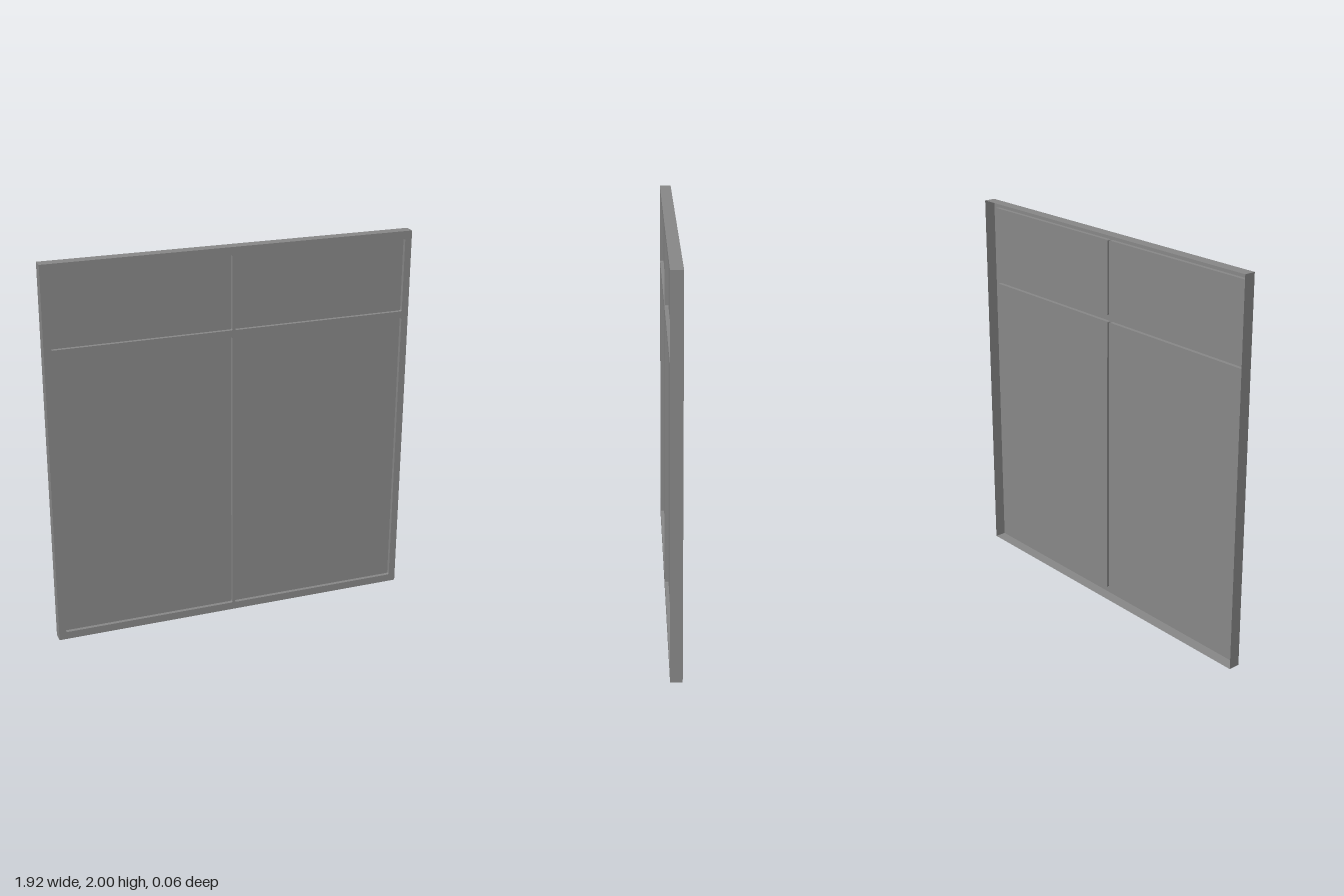
import * as THREE from 'three';

const W = 1.92, H = 2, FRONT = 0.03, BACK = -0.03, RECESS = 0.02;

// Rounded rectangle outline, counter-clockwise
function outline(x0, y0, x1, y1, r) {
  if (!r) return [[x0, y0], [x1, y0], [x1, y1], [x0, y1]].map(([x, y]) => new THREE.Vector2(x, y));
  const corners = [[x1 - r, y0 + r, -1], [x1 - r, y1 - r, 0], [x0 + r, y1 - r, 1], [x0 + r, y0 + r, 2]];
  const pts = [];
  for (const [cx, cy, q] of corners) {
    for (let i = 0; i <= 3; i++) {
      const a = (q + i / 3) * Math.PI / 2;
      pts.push(new THREE.Vector2(cx + r * Math.cos(a), cy + r * Math.sin(a)));
    }
  }
  return pts;
}

// Band of quads along a closed outline between two depths
function band(pts, z0, z1) {
  const pos = [];
  pts.forEach((a, i) => {
    const b = pts[(i + 1) % pts.length];
    pos.push(a.x, a.y, z0, b.x, b.y, z0, b.x, b.y, z1);
    pos.push(a.x, a.y, z0, b.x, b.y, z1, a.x, a.y, z1);
  });
  const g = new THREE.BufferGeometry();
  g.setAttribute('position', new THREE.Float32BufferAttribute(pos, 3));
  g.computeVertexNormals();
  return g;
}

export function createModel() {
  const group = new THREE.Group();
  const material = new THREE.MeshStandardMaterial({ color: 0x888888, side: THREE.DoubleSide });
  const add = (name, geometry) => {
    const mesh = new THREE.Mesh(geometry, material);
    mesh.name = name;
    group.add(mesh);
  };

  // Outer rim, open at the back
  const rim = outline(-W / 2, 0, W / 2, H, 0);
  add('outerRim', band(rim, BACK, FRONT));

  // Frame face with four openings; each pane is set back behind its reveal
  const face = new THREE.Shape(rim);
  for (const [row, y0, y1] of [['lower', 0.04, 1.542], ['upper', 1.577, 1.961]]) {
    for (const [side, x0, x1] of [['Left', 0.007, 0.924], ['Right', -0.924, -0.007]]) {
      const pts = outline(x0, y0, x1, y1, 0.006);
      const reversed = pts.slice().reverse();
      face.holes.push(new THREE.Path(reversed));
      add(row + side + 'Reveal', band(reversed, FRONT - RECESS, FRONT));
      add(row + side + 'Pane', new THREE.ShapeGeometry(new THREE.Shape(pts)).translate(0, 0, FRONT - RECESS));
    }
  }
  add('frameFace', new THREE.ShapeGeometry(face).translate(0, 0, FRONT));

  return group;
}
